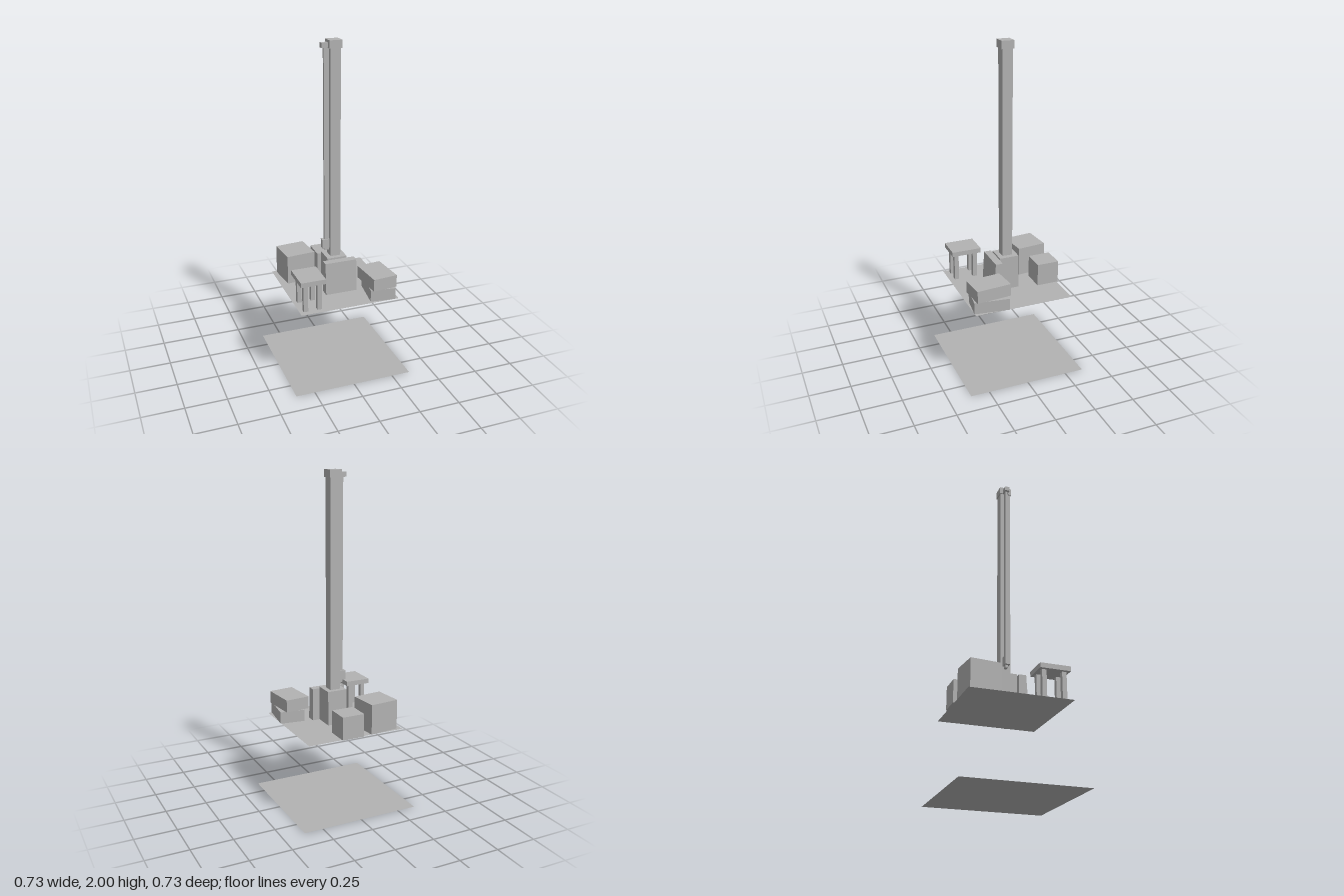
import * as THREE from 'three';

const grey = new THREE.MeshStandardMaterial({ color: 0xb2b2b2, side: THREE.DoubleSide });
grey.name = 'plain grey';

const FLOOR = 0.495;

export function createModel() {
  const model = new THREE.Group();
  model.name = 'columnSet';

  const add = (name, geometry, x, y, z, turn = 0, parent = model) => {
    const mesh = new THREE.Mesh(geometry, grey);
    mesh.name = name;
    mesh.position.set(x, y, z);
    mesh.rotation.y = turn;
    parent.add(mesh);
    return mesh;
  };
  // Box standing on height y0 and reaching y1
  const block = (name, w, d, y0, y1, x, z, turn = 0, parent = model) =>
    add(name, new THREE.BoxGeometry(w, y1 - y0, d), x, (y0 + y1) / 2, z, turn, parent);
  const sheet = (name, size, y) =>
    add(name, new THREE.PlaneGeometry(size, size).rotateX(-Math.PI / 2), 0, y, 0);

  // Two flat sheets, the upper one carrying the objects
  sheet('lowerGround', 0.73, 0);
  sheet('upperFloor', 0.61, FLOOR);

  // Tall column with pedestal and cap
  block('pedestal', 0.122, 0.12, FLOOR, 0.706, 0.004, 0);
  block('columnShaft', 0.062, 0.062, 0.706, 1.96, 0.004, 0);
  block('columnCap', 0.075, 0.075, 1.955, 2, 0.004, 0);

  // Conduit running up the side, with a box at each end
  block('conduit', 0.03, 0.016, 0.74, 1.96, -0.042, -0.002);
  block('conduitLowerBox', 0.046, 0.03, 0.756, 0.812, -0.05, -0.002);
  block('conduitUpperBox', 0.04, 0.03, 1.957, 1.985, -0.053, -0.002);

  // Front panel whose face leans back toward the top
  const lean = new THREE.Shape([
    new THREE.Vector2(0.06, FLOOR), new THREE.Vector2(0.117, FLOOR),
    new THREE.Vector2(0.105, 0.695), new THREE.Vector2(0.06, 0.695),
  ]);
  const panel = new THREE.ExtrudeGeometry(lean, { depth: 0.197, bevelEnabled: false });
  panel.rotateY(-Math.PI / 2);
  add('frontPanel', panel, 0.11, 0, 0);

  // Small table
  const table = new THREE.Group();
  table.name = 'table';
  table.position.set(-0.225, 0, 0.197);
  model.add(table);
  block('tableTop', 0.153, 0.183, 0.663, 0.692, 0, 0, 0, table);
  for (const sx of [-1, 1]) for (const sz of [-1, 1]) {
    block('tableLeg', 0.027, 0.027, FLOOR, 0.663, sx * 0.042, sz * 0.06, 0, table);
  }

  // Crates
  block('lowerCrate', 0.152, 0.213, FLOOR, 0.567, 0.2205, 0.191, -0.13);
  block('upperCrate', 0.152, 0.214, 0.567, 0.643, 0.21, 0.19, 0.092);
  block('largeBackCrate', 0.181, 0.182, FLOOR, 0.676, -0.177, -0.206, 0.1);
  block('smallBackCrate', 0.138, 0.137, FLOOR, 0.634, 0.028, -0.2445);

  return model;
}
